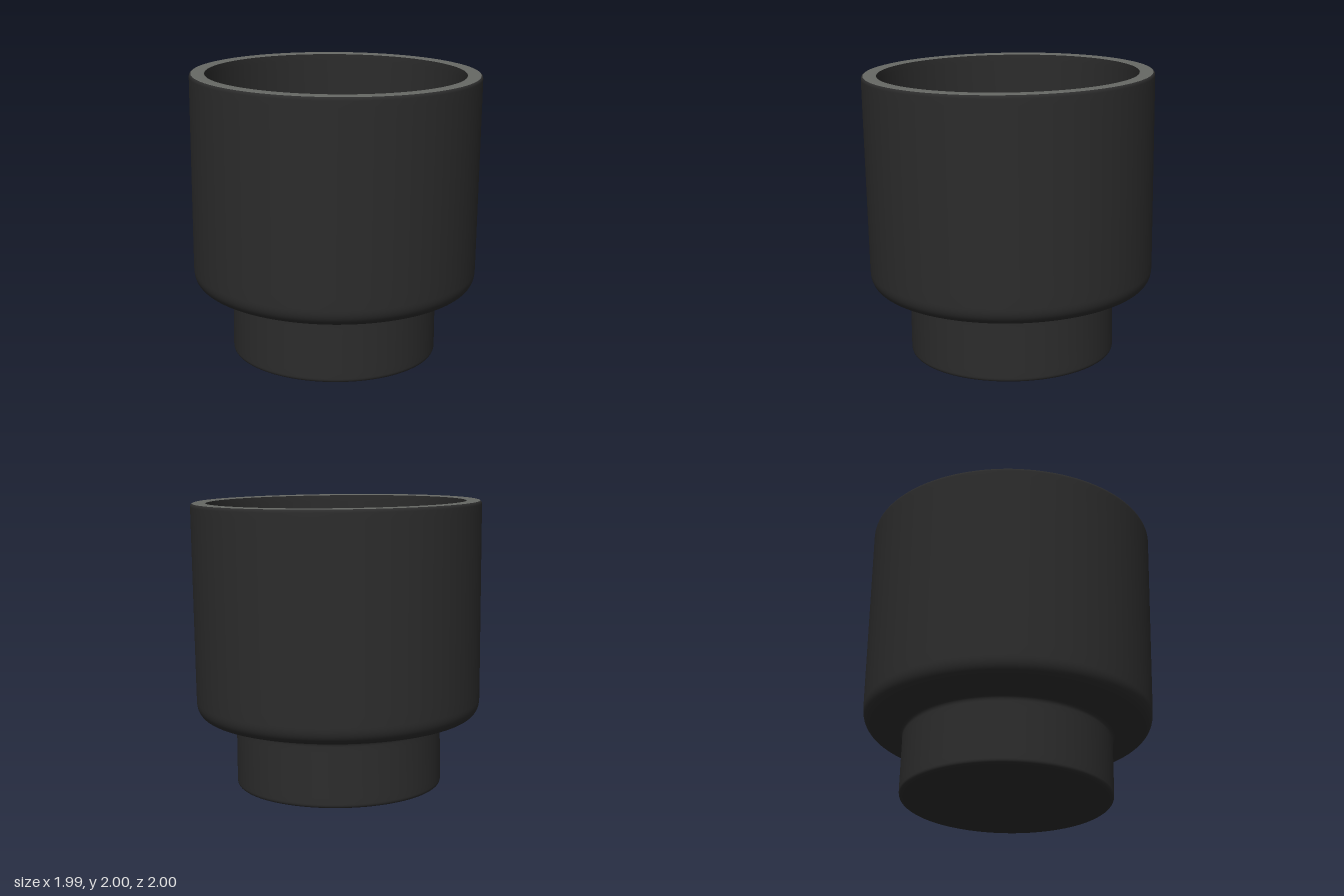
import * as THREE from 'three';

const SEGMENTS = 128;
const HEIGHT = 1.97;

// Rounded corner from a to b, bending at the control point
function corner(a, control, b, steps = 6) {
  const v = (p) => new THREE.Vector2(p[0], p[1]);
  return new THREE.QuadraticBezierCurve(v(a), v(control), v(b)).getPoints(steps);
}

function lathe(name, points, material) {
  const mesh = new THREE.Mesh(new THREE.LatheGeometry(points, SEGMENTS), material);
  mesh.name = name;
  mesh.position.y = -HEIGHT / 2;
  return mesh;
}

export function createModel() {
  const dark = new THREE.MeshStandardMaterial({ color: 0x2c2c2c });
  dark.name = 'charcoal';
  const grey = new THREE.MeshStandardMaterial({ color: 0x666864 });
  grey.name = 'rim grey';

  // Outer shell: flat base, narrow foot, filleted shoulder, wide bowl
  const outer = [
    new THREE.Vector2(0, 0),
    new THREE.Vector2(0.66, 0),
    ...corner([0.685, 0], [0.714, 0], [0.714, 0.03]),
    new THREE.Vector2(0.714, 0.07),
    new THREE.Vector2(0.712, 0.38),
    ...corner([0.712, 0.415], [0.714, 0.45], [0.745, 0.453]),
    ...corner([0.87, 0.475], [0.985, 0.492], [0.985, 0.605], 12),
    new THREE.Vector2(0.986, 0.68),
    new THREE.Vector2(0.993, 1.9),
    ...corner([0.993, 1.945], [0.993, 1.963], [0.982, 1.967], 4),
  ];

  // Flat ring on top of the wall
  const rim = [
    new THREE.Vector2(0.982, 1.967),
    new THREE.Vector2(0.97, HEIGHT),
    new THREE.Vector2(0.9, HEIGHT),
    new THREE.Vector2(0.89, 1.965),
  ];

  // Cavity: straight wall down to a flat floor
  const cavity = [
    new THREE.Vector2(0.89, 1.965),
    new THREE.Vector2(0.887, 1.92),
    new THREE.Vector2(0.887, 1.42),
    ...corner([0.887, 1.38], [0.887, 1.33], [0.837, 1.33]),
    new THREE.Vector2(0.79, 1.33),
    new THREE.Vector2(0, 1.33),
  ];

  // The whole cup leans very slightly forward
  const cup = new THREE.Group();
  cup.name = 'cup';
  cup.add(
    lathe('outerShell', outer, dark),
    lathe('rim', rim, grey),
    lathe('cavity', cavity, dark),
  );
  cup.rotation.x = 0.0185;
  cup.position.y = HEIGHT / 2 + 0.013;

  const model = new THREE.Group();
  model.name = 'footedCup';
  model.add(cup);
  return model;
}
